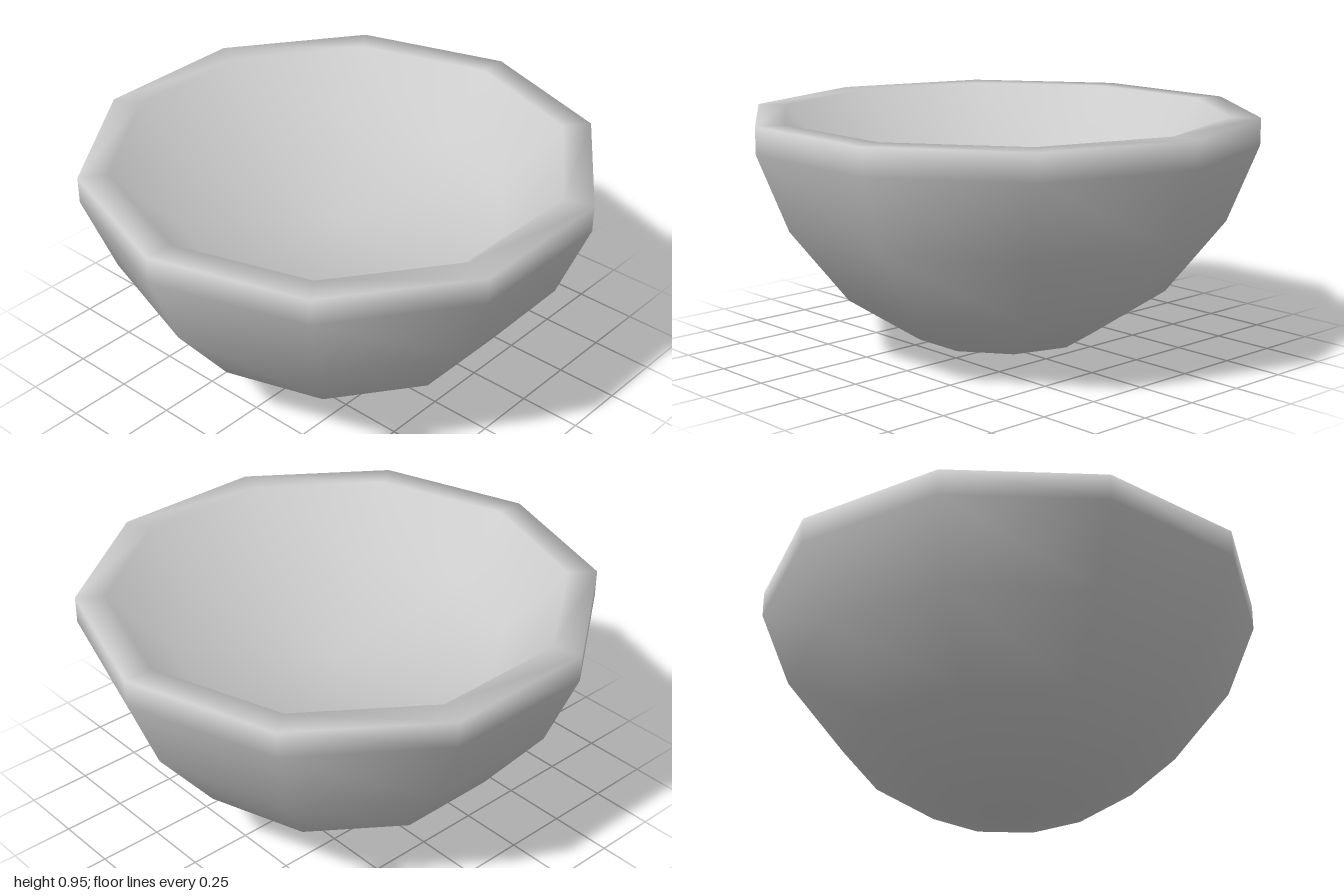
import * as THREE from 'three';
import { mergeVertices } from 'three/addons/utils/BufferGeometryUtils.js';

const SIDES = 10;

export function createModel() {
  const group = new THREE.Group();
  group.name = 'bowl';

  // Closed profile: outer shell upward, flat rim, sloped inner wall, nearly flat floor
  const outer = [[0, 0], [0.36, 0.07], [0.65, 0.26], [0.88, 0.55], [1, 0.85], [1, 0.955]];
  const hollow = [[0.885, 0.955], [0.65, 0.72], [0, 0.64]];
  const profile = [...outer, ...hollow].map(([r, y]) => new THREE.Vector2(r, y));

  // Weld the seam and both poles so the shading is smooth all over
  let geometry = new THREE.LatheGeometry(profile, SIDES);
  geometry.deleteAttribute('uv');
  geometry.deleteAttribute('normal');
  geometry = mergeVertices(geometry, 1e-4);
  geometry.computeVertexNormals();

  const bowl = new THREE.Mesh(geometry, new THREE.MeshStandardMaterial({ color: 0xcccccc }));
  bowl.name = 'bowlShell';
  group.add(bowl);
  return group;
}
